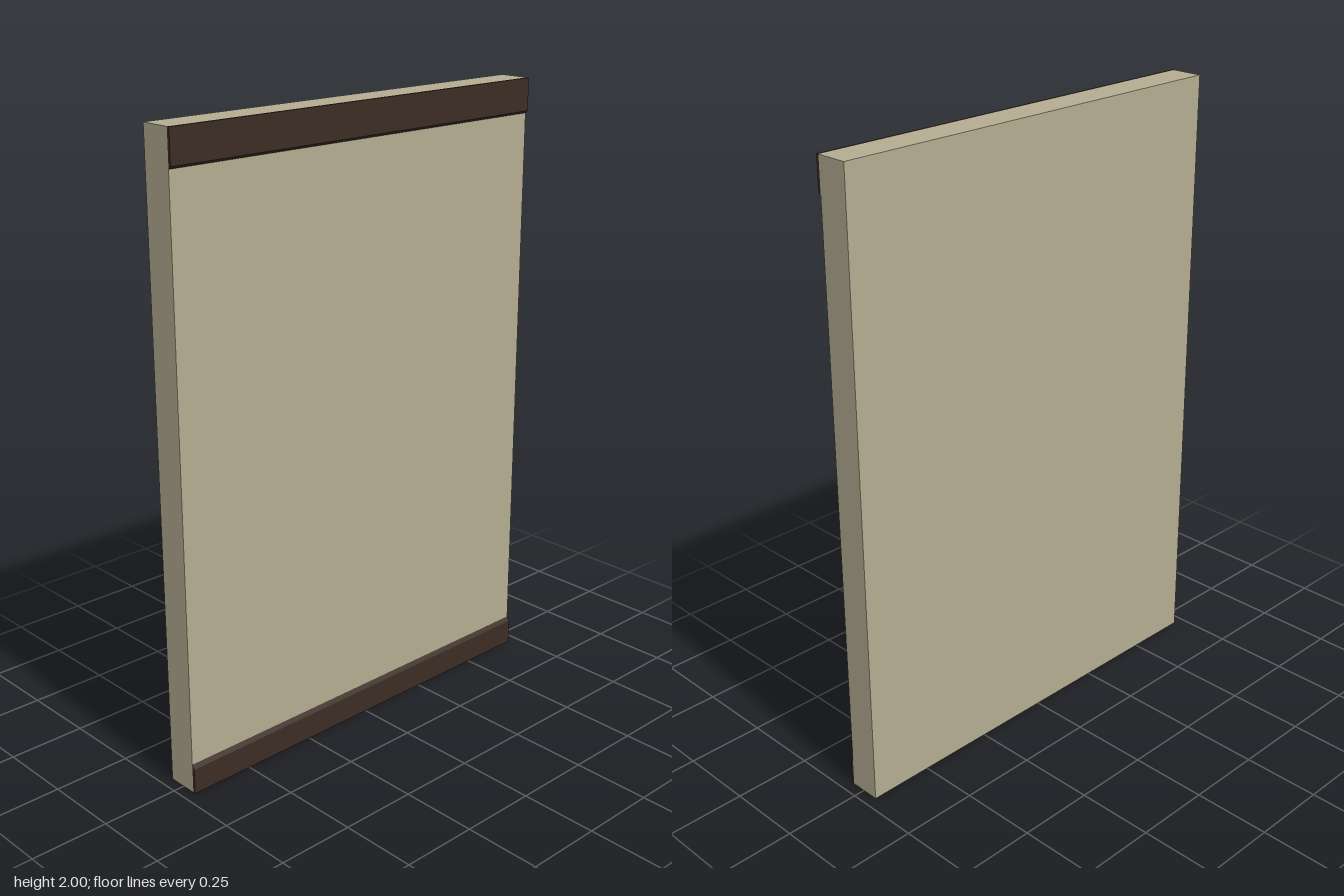
import * as THREE from 'three';

const WIDTH = 1.426;
const BACK = -0.056, FACE = 0.047, FRONT = 0.056;

// Trim board with one chamfered edge facing the middle of the wall
function trimBoard(name, outerY, innerY, chamfer, material) {
  const slope = Math.sign(outerY - innerY) * chamfer;
  const profile = new THREE.Shape([
    new THREE.Vector2(FACE, outerY),
    new THREE.Vector2(FRONT, outerY),
    new THREE.Vector2(FRONT, innerY + slope),
    new THREE.Vector2(FACE, innerY),
  ]);
  const geometry = new THREE.ExtrudeGeometry(profile, { depth: WIDTH, bevelEnabled: false });
  geometry.rotateY(-Math.PI / 2).translate(WIDTH / 2, 0, 0);
  const mesh = new THREE.Mesh(geometry, material);
  mesh.name = name;
  return mesh;
}

export function createModel() {
  const plaster = new THREE.MeshStandardMaterial({ color: 0xb4ad92 });
  plaster.name = 'beige plaster';
  const wood = new THREE.MeshStandardMaterial({ color: 0x3b2c23 });
  wood.name = 'dark wood';

  const model = new THREE.Group();
  model.name = 'wallPanel';

  // Wall slab
  const wall = new THREE.Mesh(new THREE.BoxGeometry(WIDTH, 2, FACE - BACK), plaster);
  wall.name = 'wall';
  wall.position.set(0, 1, (FACE + BACK) / 2);

  // Trim along the top and bottom of the front
  model.add(
    wall,
    trimBoard('topTrim', 2, 1.888, 0.008, wood),
    trimBoard('baseboard', 0, 0.096, 0.014, wood),
  );
  return model;
}
